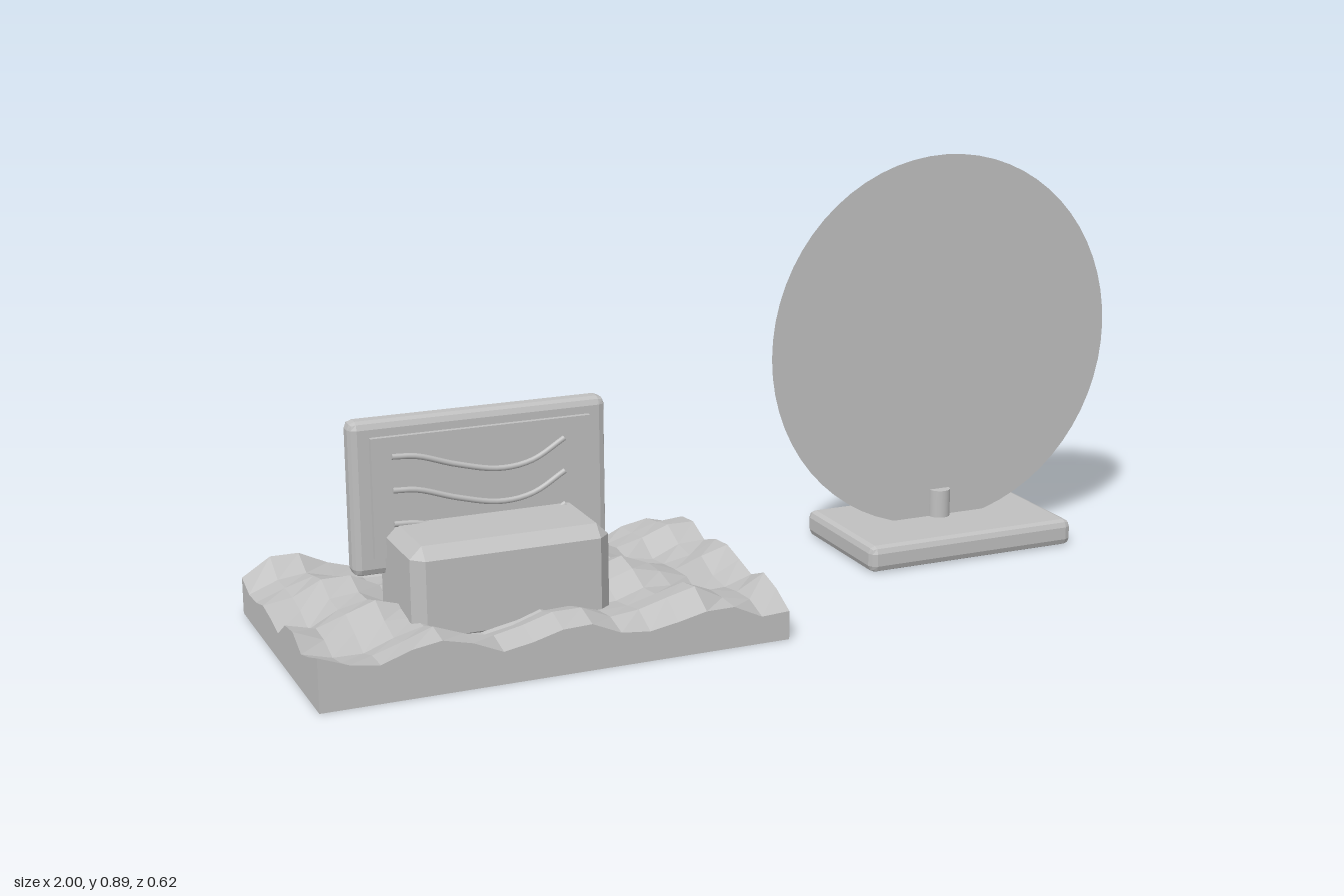
import * as THREE from 'three';
import { RoundedBoxGeometry } from 'three/addons/geometries/RoundedBoxGeometry.js';
import { ConvexGeometry } from 'three/addons/geometries/ConvexGeometry.js';

// Give every triangle its own normal, for crisp facets
function facet(geometry) {
  const flat = geometry.index ? geometry.toNonIndexed() : geometry;
  flat.computeVertexNormals();
  return flat;
}

// Box between two corners with every edge cut at 45 degrees
function chamferedBox(min, max, cut) {
  const points = [];
  for (const x of [0, 1]) for (const y of [0, 1]) for (const z of [0, 1]) {
    const side = [x, y, z];
    for (let axis = 0; axis < 3; axis++) {
      const p = side.map((s, i) => {
        const inset = i === axis ? 0 : cut;
        return s ? max[i] - inset : min[i] + inset;
      });
      points.push(new THREE.Vector3(...p));
    }
  }
  return facet(new ConvexGeometry(points));
}

// Small repeatable variation for the terrain
function noise(i, j) {
  const s = Math.sin(i * 12.99 + j * 78.23) * 43758.55;
  return s - Math.floor(s) - 0.5;
}

// Solid block whose top is moved into choppy waves
function terrainBlock(x0, x1, z0, z1, nx, nz) {
  const w = x1 - x0, d = z1 - z0;
  const g = new THREE.BoxGeometry(w, 1, d, nx, 1, nz);
  g.translate((x0 + x1) / 2, 0.5, (z0 + z1) / 2);
  const p = g.attributes.position;
  for (let k = 0; k < p.count; k++) {
    if (p.getY(k) < 0.5) continue;
    const x = p.getX(k), z = p.getZ(k);
    const i = Math.round((x - x0) / w * nx), j = Math.round((z - z0) / d * nz);
    const h = 0.086
      + 0.019 * Math.cos((x + 0.2 + 0.25 * (0.31 - z)) * 23)
      + 0.013 * Math.cos(z * 31 + x * 3)
      + 0.016 * noise(i, j);
    p.setY(k, THREE.MathUtils.clamp(h, 0.05, 0.12));
  }
  return facet(g);
}

export function createModel() {
  const model = new THREE.Group();
  const grey = new THREE.MeshStandardMaterial({ color: 0xc0c0c0 });
  grey.name = 'plainGrey';
  const greySheet = new THREE.MeshStandardMaterial({ color: 0xc0c0c0, side: THREE.DoubleSide });
  greySheet.name = 'plainGreySheet';

  function add(name, geometry, parent = model, material = grey) {
    const mesh = new THREE.Mesh(geometry, material);
    mesh.name = name;
    parent.add(mesh);
    return mesh;
  }

  // Rough ground with a block and an upright panel
  const scene = new THREE.Group();
  scene.name = 'groundDisplay';
  model.add(scene);
  add('terrain', terrainBlock(-1, -0.025, -0.306, 0.309, 16, 10), scene);
  add('block', chamferedBox([-0.77, 0.04, -0.075], [-0.355, 0.248, 0.175], 0.025), scene);
  add('panel', facet(new RoundedBoxGeometry(0.545, 0.322, 0.055, 1, 0.016)), scene)
    .position.set(-0.5625, 0.301, -0.0465);
  add('panelFace', new THREE.BoxGeometry(0.465, 0.25, 0.014), scene)
    .position.set(-0.5625, 0.305, -0.014);

  // Three raised wavy strands on the panel
  for (let n = 0; n < 3; n++) {
    const y = 0.385 - n * 0.07;
    const curve = new THREE.CatmullRomCurve3([
      [-0.755, 0.006], [-0.705, 0.002], [-0.62, -0.025], [-0.53, -0.044], [-0.46, -0.035], [-0.39, 0.004],
    ].map(([x, dy]) => new THREE.Vector3(x, y + dy, -0.001)));
    const strand = new THREE.Group();
    strand.name = 'wavyStrand';
    scene.add(strand);
    add('strand', new THREE.TubeGeometry(curve, 24, 0.006, 8), strand);
    // Closed ends
    for (const x of [-1, 1]) {
      const cap = add('strandEnd', new THREE.CircleGeometry(0.006, 8), strand);
      cap.position.copy(curve.getPoint(x < 0 ? 0 : 1));
      cap.rotation.y = x * Math.PI / 2;
    }
  }

  // Thin disc held by a pin on a rounded base
  const stand = new THREE.Group();
  stand.name = 'discStand';
  stand.position.set(0.574, 0, -0.146);
  model.add(stand);
  add('standBase', facet(new RoundedBoxGeometry(0.515, 0.06, 0.324, 1, 0.016)), stand)
    .position.y = 0.03;
  add('pin', new THREE.CylinderGeometry(0.025, 0.025, 0.073, 24), stand).position.y = 0.0865;
  add('disc', new THREE.CircleGeometry(0.425, 64), stand, greySheet).position.y = 0.469;

  return model;
}
